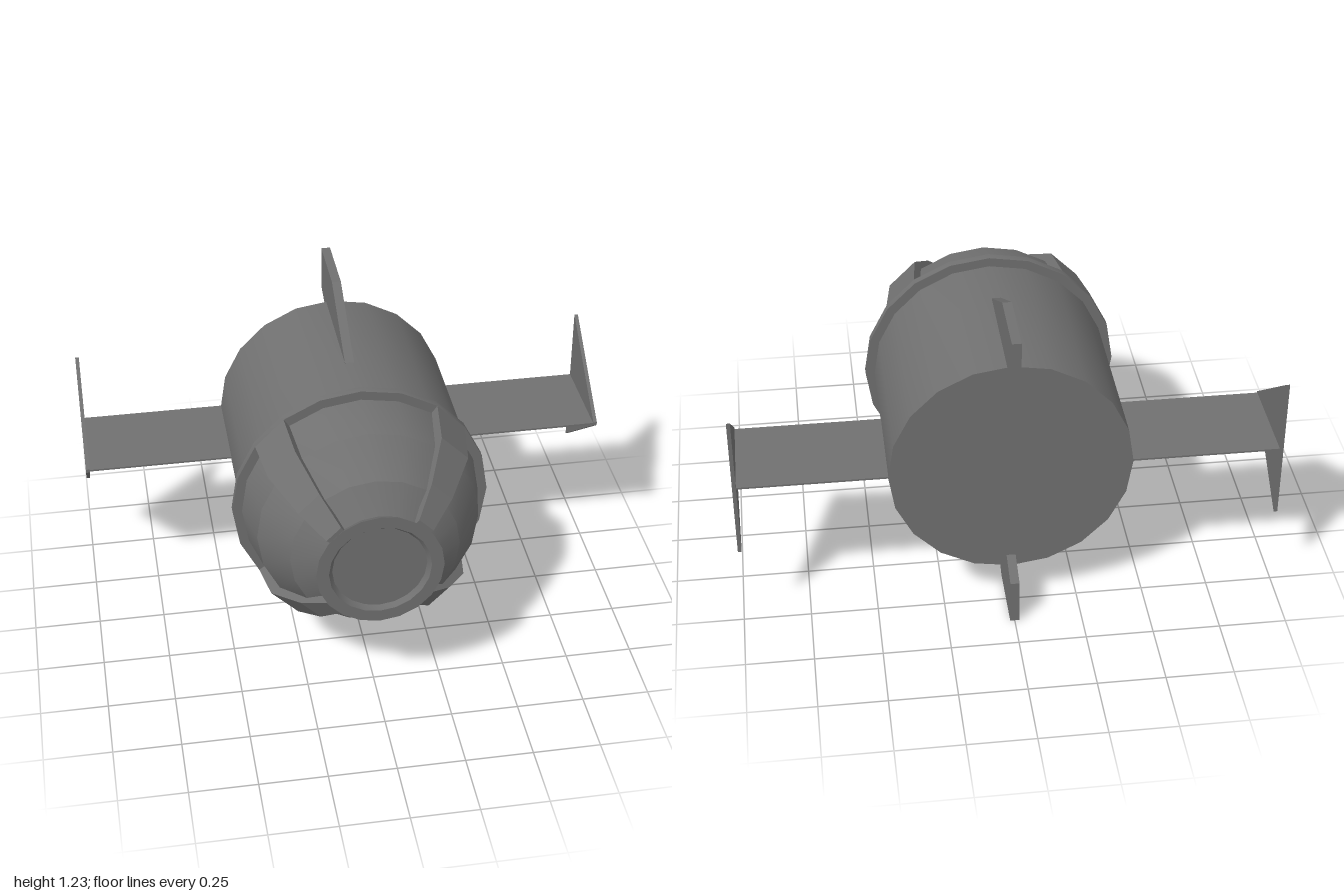
import * as THREE from 'three';
import { toCreasedNormals } from 'three/addons/utils/BufferGeometryUtils.js';

const SIDES = 20;
const AXIS_Y = 0.615; // height of the hull's long axis

export function createModel() {
  const root = new THREE.Group();
  root.name = 'spacecraft';
  const craft = new THREE.Group();
  craft.name = 'hull';
  craft.position.y = AXIS_Y;
  root.add(craft);

  const smooth = new THREE.MeshStandardMaterial({ color: 0x707070 });
  const flat = new THREE.MeshStandardMaterial({ color: 0x707070, flatShading: true });

  function add(name, geometry, material = flat) {
    const mesh = new THREE.Mesh(geometry, material);
    mesh.name = name;
    craft.add(mesh);
    return mesh;
  }

  // Turned part along z; profile is [radius, z] from back to front
  function turned(profile) {
    const points = profile.map(([r, z]) => new THREE.Vector2(r, z));
    const geometry = new THREE.LatheGeometry(points, SIDES).rotateX(Math.PI / 2);
    return toCreasedNormals(geometry, 0.35);
  }

  // Flat plate in the zy plane with its thickness along x; outline is [z, y]
  function plate(outline, thickness) {
    const shape = new THREE.Shape(outline.map(([z, y]) => new THREE.Vector2(-z, y)));
    return new THREE.ExtrudeGeometry(shape, { depth: thickness, bevelEnabled: false })
      .translate(0, 0, -thickness / 2)
      .rotateY(Math.PI / 2);
  }

  // Main cylinder and collar
  add('body', turned([[0, -0.51], [0.445, -0.51], [0.445, 0.18]]), smooth);
  add('collar', turned([[0.42, 0.17], [0.48, 0.17], [0.48, 0.2], [0.42, 0.2]]), smooth);

  // Domed nose with a flared lip around a shallow recessed window
  add('nose', turned([
    [0.445, 0.2], [0.41, 0.37], [0.31, 0.52], [0.206, 0.587], [0.232, 0.63],
    [0.186, 0.63], [0.172, 0.612], [0, 0.612],
  ]), smooth);

  // Raised ribs, each one facet wide, running into the lip: [inner radius, outer radius, z]
  const ribSections = [[0.42, 0.48, 0.2], [0.39, 0.45, 0.37], [0.29, 0.342, 0.52], [0.2, 0.237, 0.613]];
  function ribGeometry() {
    const a0 = THREE.MathUtils.degToRad(36);
    const a1 = THREE.MathUtils.degToRad(54);
    const positions = [];
    const index = [];
    ribSections.forEach(([inner, outer, z], i) => {
      for (const [radius, a] of [[inner, a0], [outer, a0], [outer, a1], [inner, a1]]) {
        positions.push(radius * Math.cos(a), radius * Math.sin(a), z);
      }
      if (i === 0) return;
      for (let k = 0; k < 4; k++) {
        const n = (k + 1) % 4;
        const p = (i - 1) * 4;
        const q = i * 4;
        index.push(p + k, p + n, q + n, p + k, q + n, q + k);
      }
    });
    const e = (ribSections.length - 1) * 4;
    index.push(e, e + 1, e + 2, e, e + 2, e + 3, 0, 2, 1, 0, 3, 2);
    const geometry = new THREE.BufferGeometry();
    geometry.setAttribute('position', new THREE.Float32BufferAttribute(positions, 3));
    geometry.setIndex(index);
    geometry.computeVertexNormals();
    return geometry;
  }
  const rib = ribGeometry();
  for (let i = 0; i < 4; i++) add('noseRib', rib).rotation.z = i * Math.PI / 2;

  // Upper and lower tail fins
  const fin = plate([
    [-0.055, 0.444], [-0.36, 0.615], [-0.627, 0.615], [-0.627, 0.438], [-0.51, 0.395], [-0.055, 0.395],
  ], 0.034);
  add('upperFin', fin);
  add('lowerFin', fin).rotation.z = Math.PI;

  // Side wings with triangular end plates
  const wing = new THREE.BoxGeometry(0.57, 0.007, 0.362);
  const endPlate = plate([[-0.145, 0.01], [-0.145, -0.004], [-0.51, -0.285], [-0.51, 0.287]], 0.014);
  for (const [side, name] of [[1, 'left'], [-1, 'right']]) {
    add(name + 'Wing', wing).position.set(side * 0.71, 0.002, -0.329);
    add(name + 'WingEndPlate', endPlate).position.x = side * 0.993;
  }

  return root;
}
